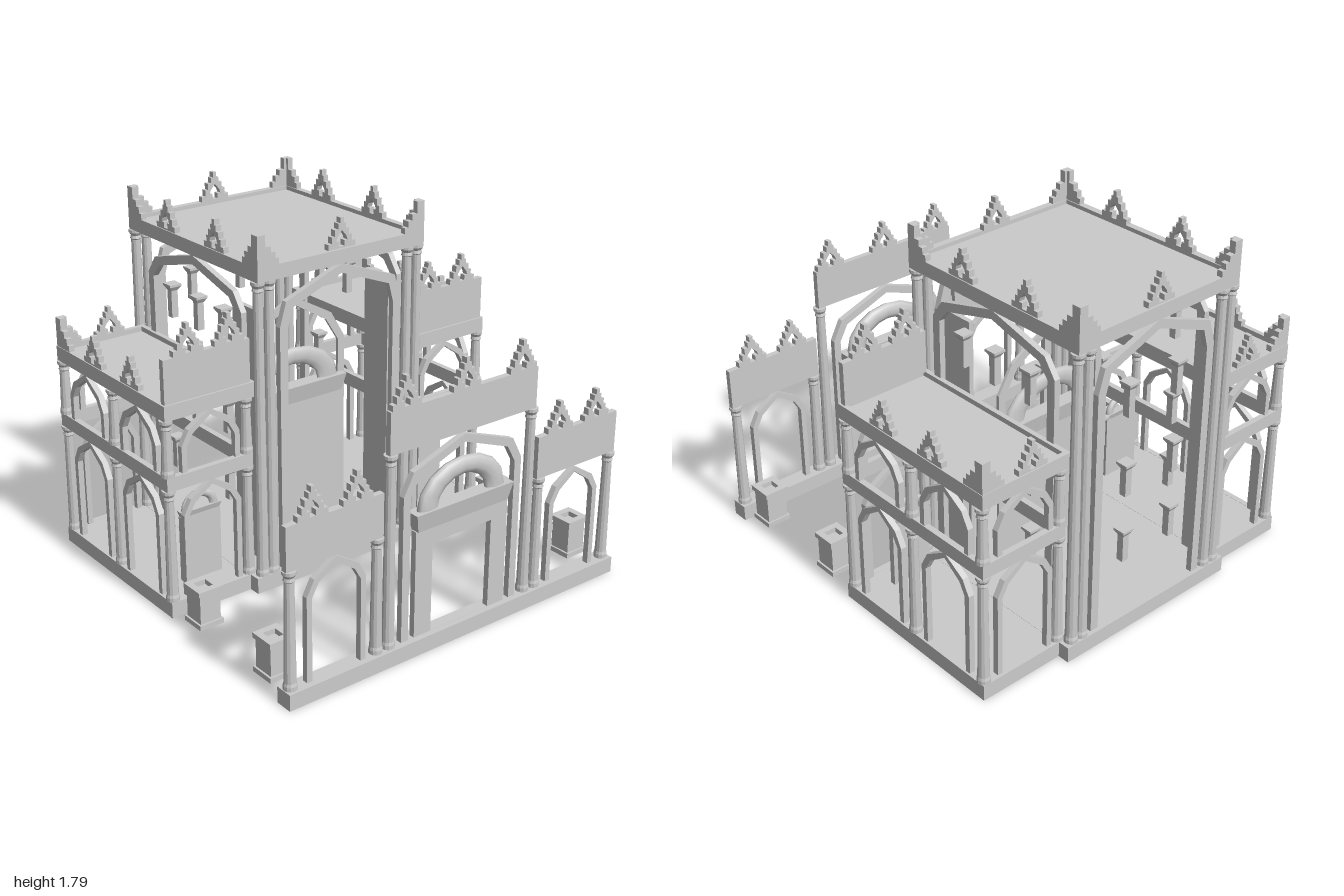
import * as THREE from 'three';

const mat = new THREE.MeshStandardMaterial({ color: 0xcccccc, flatShading: true });
const smooth = new THREE.MeshStandardMaterial({ color: 0xcccccc, side: THREE.DoubleSide });

function add(parent, name, geo, x = 0, y = 0, z = 0, rotY = 0, m = mat) {
  const mesh = new THREE.Mesh(geo, m);
  mesh.name = name;
  mesh.position.set(x, y, z);
  mesh.rotation.y = rotY;
  parent.add(mesh);
  return mesh;
}

// Box given by its limits
function block(parent, name, x0, x1, y0, y1, z0, z1) {
  return add(parent, name, new THREE.BoxGeometry(x1 - x0, y1 - y0, z1 - z0),
    (x0 + x1) / 2, (y0 + y1) / 2, (z0 + z1) / 2);
}

const toPath = (pts, Type = THREE.Shape) => new Type(pts.map(p => new THREE.Vector2(...p)));
const mirrorPts = half => [...half, ...half.filter(p => p[0] > 0).reverse().map(([x, y]) => [-x, y])];

function slab(shape, depth) {
  return new THREE.ExtrudeGeometry(shape, { depth, bevelEnabled: false }).translate(0, 0, -depth / 2);
}

// Round column with moulded base and capital
function column(parent, x, z, y0, y1, r = 0.026) {
  const pts = [[0, y0], [r * 1.25, y0], [r * 1.25, y0 + 0.02], [r * 1.1, y0 + 0.035], [r * 0.88, y1 - 0.05],
    [r * 1.05, y1 - 0.045], [r * 0.9, y1 - 0.03], [r * 1.25, y1 - 0.015], [r * 1.25, y1], [0, y1]];
  const geo = new THREE.LatheGeometry(pts.map(p => new THREE.Vector2(...p)), 12);
  add(parent, 'column', geo, x, 0, z);
}

// Pointed arch rib standing on two legs
function arch(parent, x, z, rotY, w, y0, peak, t, kx = 0.75, drop = 0.075, depth = 0.03) {
  const curve = i => [[w - i, peak - 2 * drop - i * 0.3], [w * kx - i * 0.8, peak - drop - i * 0.8], [0, peak - i]];
  const half = [...curve(0), ...curve(t).reverse()];
  const left = half.slice(0, 3).reverse().slice(1).map(([a, b]) => [-a, b]);
  const right = half.slice(3).map(([a, b]) => [-a, b]).reverse();
  const pts = [[w, y0], ...half.slice(0, 3), ...left, [-w, y0], [-w + t, y0],
    ...right.slice(0, 2), ...half.slice(3), [w - t, y0]];
  add(parent, 'archRib', slab(toPath(pts), depth), x, 0, z, rotY);
}

// Stepped crest with a spade-shaped opening
function finial(parent, x, y, z, rotY = 0) {
  const s = toPath(mirrorPts([[0.08, 0], [0.08, 0.028], [0.058, 0.028], [0.058, 0.06], [0.042, 0.06], [0.042, 0.092],
    [0.022, 0.092], [0.022, 0.12], [0.01, 0.12], [0.01, 0.147]]));
  s.holes.push(toPath(mirrorPts([[0.015, 0.008], [0.015, 0.035], [0.033, 0.035], [0.026, 0.055], [0, 0.085]]), THREE.Path));
  add(parent, 'finial', slab(s, 0.03), x, y, z, rotY);
}

const stair = [[0, 0], [0.12, 0], [0.12, 0.03], [0.1, 0.03], [0.1, 0.06], [0.075, 0.06], [0.075, 0.09],
  [0.045, 0.09], [0.045, 0.148], [0, 0.148]];

// Two stepped wings meeting at a corner, running toward sx and sz
function cornerCrest(parent, x, y, z, sx, sz) {
  const g = new THREE.Group();
  g.name = 'cornerCrest';
  const along = (s, rot) => add(g, 'cornerStep',
    slab(toPath(s > 0 ? stair : stair.map(([a, b]) => [-a, b]).reverse()), 0.03), 0, 0, 0, rot);
  along(sx, 0).position.z = sz * 0.015;
  along(sz, -Math.PI / 2).position.x = sx * 0.015;
  g.position.set(x, y, z);
  parent.add(g);
}

// Rectangular rim of beams with an optional plate inside
function frame(parent, name, x0, x1, y0, y1, z0, z1, t, plate) {
  const s = toPath([[x0, -z0], [x0, -z1], [x1, -z1], [x1, -z0]]);
  s.holes.push(toPath([[x0 + t, -z0 - t], [x1 - t, -z0 - t], [x1 - t, -z1 + t], [x0 + t, -z1 + t]], THREE.Path));
  const geo = new THREE.ExtrudeGeometry(s, { depth: y1 - y0, bevelEnabled: false }).rotateX(-Math.PI / 2);
  add(parent, name, geo, 0, y0, 0);
  if (plate) block(parent, name + 'Plate', x0 + t, x1 - t, plate[0], plate[1], z0 + t, z1 - t);
}

// Doorway: surround, flared lintel and half-ring hood
function portal(parent, x, z, w, sill, sillH, hoodH, hoodZ, open) {
  const g = new THREE.Group();
  g.name = 'portal';
  const s = toPath([[-w, 0.08], [w, 0.08], [w, sill], [-w, sill]]);
  if (open) s.holes.push(toPath([[-w * 0.64, 0.081], [-w * 0.64, sill - 0.08], [w * 0.64, sill - 0.08], [w * 0.64, 0.081]], THREE.Path));
  add(g, 'doorSurround', slab(s, 0.03));
  const lintel = new THREE.BoxGeometry(w * 2.1, sillH, 0.02 + 0.2 * w);
  const p = lintel.attributes.position;
  for (let i = 0; i < p.count; i++) if (p.getY(i) < 0) p.setXYZ(i, p.getX(i) * 0.93, p.getY(i), p.getZ(i) * 0.6);
  lintel.computeVertexNormals();
  add(g, 'lintel', lintel, 0, sill + sillH / 2, 0);
  const R = w * 0.73, r = w * 0.21;
  const hood = add(g, 'hood', new THREE.TorusGeometry(R, r, 10, 8, Math.PI), 0, sill + sillH, 0, 0, smooth);
  hood.scale.set(1, hoodH / (R + r), hoodZ / r);
  g.position.set(x, 0, z);
  parent.add(g);
}

// Small wall pilaster with a flared cap
function bracket(parent, x, y, z) {
  const g = new THREE.Group();
  g.name = 'wallBracket';
  block(g, 'bracketShaft', -0.018, 0.018, 0, 0.14, -0.018, 0.018);
  const cap = new THREE.CylinderGeometry(0.045, 0.026, 0.022, 4).rotateY(Math.PI / 4);
  add(g, 'bracketCap', cap, 0, 0.15, 0);
  block(g, 'bracketTop', -0.032, 0.032, 0.16, 0.172, -0.032, 0.032);
  g.position.set(x, y, z);
  parent.add(g);
}

function buildScreen(root) {
  const g = new THREE.Group();
  g.name = 'frontScreen';
  root.add(g);
  block(g, 'screenBase', -0.99, 0.99, 0, 0.08, 0.91, 1);
  for (const s of [-1, 1]) {
    column(g, s * 0.955, 0.955, 0.08, 0.65);
    column(g, s * 0.485, 0.955, 0.08, 0.65);
    column(g, s * 0.415, 0.955, 0.08, 1.02);
    arch(g, s * 0.715, 0.955, 0, 0.16, 0.08, 0.645, 0.028);
    const c = s * 0.72;
    block(g, 'sideParapet', c - 0.26, c + 0.26, 0.65, 0.86, 0.94, 0.97);
    for (const o of [-0.12, 0.12]) finial(g, c + o, 0.86, 0.955);
    finial(g, s * 0.34, 1.22, 0.955);
  }
  block(g, 'centreParapet', -0.43, 0.43, 1.02, 1.22, 0.94, 0.97);
  finial(g, 0, 1.22, 0.955);
  arch(g, 0, 0.955, 0, 0.35, 0.08, 1.01, 0.04, 0.84, 0.105);
  portal(g, 0, 0.955, 0.275, 0.61, 0.09, 0.2, 0.028, true);
}

function buildTower(root) {
  const g = new THREE.Group();
  g.name = 'centralTower';
  root.add(g);
  frame(g, 'towerBase', -0.52, 0.52, 0, 0.08, -1, 0.11, 0.04, [0.06, 0.079]);
  frame(g, 'towerRoof', -0.49, 0.49, 1.57, 1.64, -0.99, 0.11, 0.035, [1.59, 1.62]);
  for (const z of [0.08, -0.965]) {
    for (const x of [-0.47, -0.41, 0.41, 0.47]) column(g, x, z, 0.08, 1.57, 0.027);
    arch(g, 0, z, 0, 0.36, 0.08, 1.565, 0.045, 0.9, 0.12);
    finial(g, 0, 1.64, z);
  }
  for (const s of [-1, 1]) {
    arch(g, s * 0.465, -0.44, Math.PI / 2, 0.4, 0.08, 1.565, 0.045, 0.84, 0.09);
    for (const z of [-0.245, -0.655]) finial(g, s * 0.47, 1.64, z, Math.PI / 2);
    cornerCrest(g, s * 0.49, 1.64, 0.11, -s, -1);
    cornerCrest(g, s * 0.49, 1.64, -0.99, -s, 1);
    block(g, 'entranceJamb', s * 0.4 - 0.012, s * 0.4 + 0.012, 0.1, 1.39, -0.21, -0.03);
    for (const z of [-0.225, -0.435, -0.665]) bracket(g, s * 0.455, 1.19, z);
    for (const y of [0.375, 0.73]) for (const z of [-0.205, -0.675]) bracket(g, s * 0.455, y, z);
    for (const y of [0.375, 0.73, 1.14]) bracket(g, s * 0.15, y, -0.96);
  }
  portal(g, 0, -0.3, 0.3, 0.74, 0.09, 0.2, 0.02, false);
  arch(g, 0, -0.31, 0, 0.33, 0.08, 1.3, 0.04, 0.75, 0.14, 0.015);
}

function buildWing(root, s) {
  const g = new THREE.Group();
  g.name = s > 0 ? 'leftWing' : 'rightWing';
  root.add(g);
  const lim = (a, b) => (s > 0 ? [a, b] : [-b, -a]);
  frame(g, 'wingBase', ...lim(0.5, 0.97), 0, 0.08, -0.94, 0.05, 0.03, [0.06, 0.079]);
  frame(g, 'storeyBeam', ...lim(0.49, 0.965), 0.65, 0.72, -0.935, 0.045, 0.03);
  frame(g, 'wingRoof', ...lim(0.47, 0.965), 1.0, 1.075, -0.935, 0.045, 0.025, [1.02, 1.05]);
  for (const [y0, y1] of [[0.08, 0.65], [0.72, 1.0]]) {
    for (const z of [0.02, -0.44, -0.91]) column(g, s * 0.945, z, y0, y1);
    for (const z of [0.02, -0.91]) {
      column(g, s * 0.51, z, y0, y1);
      arch(g, s * 0.715, z, 0, 0.16, y0, y1, 0.028);
    }
    for (const z of [-0.21, -0.675]) arch(g, s * 0.945, z, Math.PI / 2, 0.16, y0, y1, 0.028);
  }
  // Raised front parapet and roof crests
  block(g, 'wingParapet', ...lim(0.49, 0.955), 1.075, 1.29, 0.005, 0.035);
  for (const x of [0.6, 0.82]) finial(g, s * x, 1.29, 0.02);
  for (const z of [-0.26, -0.59]) finial(g, s * 0.945, 1.075, z, Math.PI / 2);
  finial(g, s * 0.68, 1.075, -0.915);
  cornerCrest(g, s * 0.962, 1.075, -0.932, -s, 1);
  portal(g, s * 0.705, -0.1, 0.108, 0.42, 0.03, 0.09, 0.016, false);
}

function buildPedestal(root, x, z) {
  const g = new THREE.Group();
  g.name = 'pedestal';
  block(g, 'pedestalFoot', -0.065, 0.065, 0.05, 0.075, -0.065, 0.065);
  block(g, 'pedestalBody', -0.055, 0.055, 0.075, 0.22, -0.055, 0.055);
  frame(g, 'pedestalCap', -0.065, 0.065, 0.22, 0.245, -0.065, 0.065, 0.033);
  g.position.set(x, 0, z);
  root.add(g);
}

export function createModel() {
  const root = new THREE.Group();
  root.name = 'gatehouseHall';
  buildScreen(root);
  buildTower(root);
  for (const s of [-1, 1]) {
    buildWing(root, s);
    for (const z of [0.23, 0.775]) buildPedestal(root, s * 0.91, z);
  }
  return root;
}
